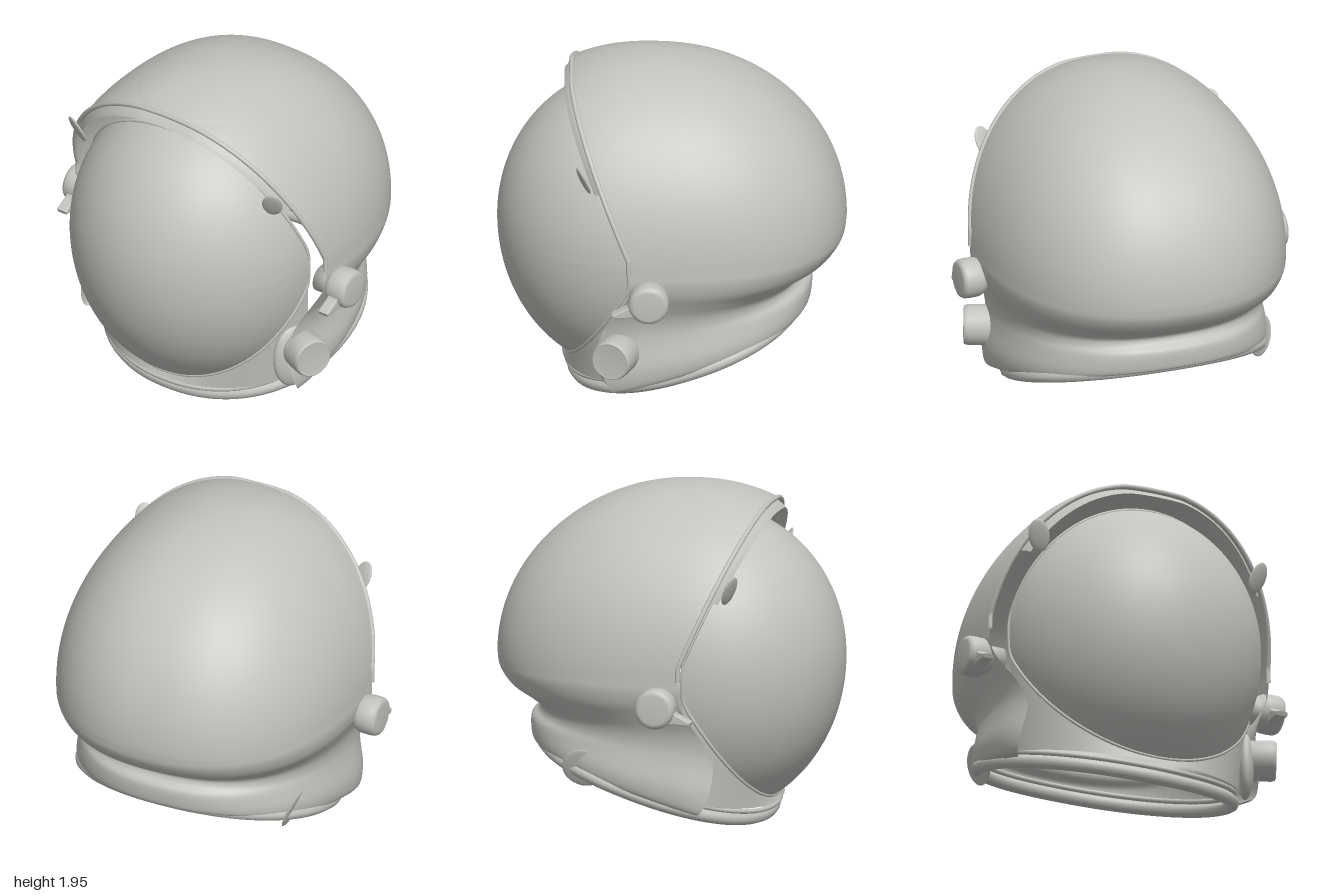
import * as THREE from 'three';

const V = (x, y, z) => new THREE.Vector3(x, y, z);
const spow = (v, p) => Math.sign(v) * Math.abs(v) ** p;

// Smooth surface through rows of points
function loft(rows) {
  const n = rows[0].length, idx = [];
  for (let i = 0; i + 1 < rows.length; i++) {
    for (let j = 0; j + 1 < n; j++) {
      const a = i * n + j, b = a + n;
      idx.push(a, b, a + 1, a + 1, b, b + 1);
    }
  }
  const g = new THREE.BufferGeometry().setFromPoints(rows.flat());
  g.setIndex(idx);
  g.computeVertexNormals();
  return g;
}

// Depth of the tilted face opening at a height
const openingZ = y => y > 0.8
  ? 0.24 + 0.415 * Math.max(0, y - 1.03)
  : 0.24 + 0.57 * (0.8 - y);

// One C-shaped section of the shell, running round the back
const N = 2.3, ZC = 0.13;
function shellRow({ w, zb, yb, fr, zf, yf }, count = 96) {
  const c = Math.max(0, Math.min(1, (zf - ZC) / Math.max(fr, 1e-4)));
  const max = Math.acos(-(c ** (N / 2)));
  const row = [];
  for (let j = 0; j <= count; j++) {
    const a = max * (2 * j / count - 1), k = Math.cos(a);
    const z = ZC - (k > 0 ? ZC - zb : fr) * spow(k, 2 / N);
    const y = yb + (yf - yb) * (z - zb) / Math.max(zf - zb, 1e-4);
    row.push(V(w * spow(Math.sin(a), 2 / N), y, z));
  }
  return row;
}
function domeRow(phi) {
  const s = Math.max(Math.cos(phi), 1e-3), y = 0.95 + Math.sin(phi);
  return shellRow({ w: 0.88 * s, zb: ZC - 1.13 * s, yb: y, fr: 1.03 * s, zf: openingZ(y), yf: y });
}

// Visor: ellipsoid point at angle t round the face, a away from the nose
const visorPoint = (t, a) => V(
  0.76 * Math.sin(a) * Math.cos(t),
  0.94 + (Math.sin(t) > 0 ? 0.86 : 0.92) * Math.sin(a) * Math.sin(t),
  0.22 + 0.78 * Math.cos(a));
function visorEdge(t) {
  let lo = 0, hi = Math.PI / 2 + 0.1;
  for (let i = 0; i < 30; i++) {
    const m = (lo + hi) / 2, p = visorPoint(t, m);
    if (p.z > openingZ(p.y)) lo = m; else hi = m;
  }
  return lo;
}

export function createModel() {
  const model = new THREE.Group();
  const grey = new THREE.MeshStandardMaterial({ color: 0xc2c2be, side: THREE.DoubleSide });
  grey.name = 'pale grey';
  const add = (name, geo, parent = model) => {
    const m = new THREE.Mesh(geo, grey);
    m.name = name;
    parent.add(m);
    return m;
  };
  const tube = (pts, r, closed = false) =>
    new THREE.TubeGeometry(new THREE.CatmullRomCurve3(pts, closed), 140, r, 10, closed);

  // Shell: dome, then tuck, crease and flared skirt
  const rows = [];
  for (let i = 0; i <= 56; i++) rows.push(domeRow((1 - i / 56) * Math.PI / 2));
  const back = [ // half width, back z, back y
    [0.88, -1.0, 0.95], [0.88, -0.985, 0.87], [0.86, -0.92, 0.78], [0.82, -0.82, 0.72],
    [0.785, -0.755, 0.67], [0.77, -0.76, 0.63], [0.775, -0.80, 0.59], [0.795, -0.80, 0.51],
    [0.78, -0.785, 0.47], [0.73, -0.74, 0.48]];
  const front = [ // front radius, front z, front y
    [1.03, 0.24, 0.95], [1.0, 0.235, 0.88], [0.9, 0.245, 0.8], [0.8, 0.28, 0.71],
    [0.72, 0.33, 0.62], [0.66, 0.38, 0.52], [0.62, 0.41, 0.42], [0.62, 0.39, 0.27],
    [0.62, 0.34, 0.16], [0.6, 0.28, 0.15]];
  const curve = a => new THREE.CatmullRomCurve3(a.map(p => V(...p)), false, 'catmullrom');
  const cb = curve(back), cf = curve(front);
  for (let i = 1; i <= 45; i++) {
    const b = cb.getPoint(i / 45), f = cf.getPoint(i / 45);
    rows.push(shellRow({ w: b.x, zb: b.y, yb: b.z, fr: f.x, zf: f.y, yf: f.z }));
  }
  add('shell', loft(rows));

  // Rolled edge of the face opening
  const half = [];
  for (let i = 0; i <= 40; i++) {
    const phi = 1.118 * i / 40;
    half.push(domeRow(phi)[96]);
  }
  const top = V(0, 1.845, 0.575);
  const edge = [...half.slice(0, 40), top, ...half.slice(0, 40).reverse().map(p => V(-p.x, p.y, p.z))];
  add('openingTrim', tube(edge, 0.014));

  // Thin brim inside the upper opening
  const upper = new THREE.CatmullRomCurve3(edge).getPoints(160).filter(p => p.y > 1.4);
  const inset = (k, dz) => upper.map(p => V(p.x * k, 0.95 + (p.y - 0.95) * k, p.z + dz));
  add('brim', loft([inset(0.99, -0.02), inset(0.96, 0.02), inset(0.935, 0.04)]));

  // Visor and its edge frame
  const visorRows = [], frame = [];
  for (let i = 0; i <= 96; i++) {
    const t = i / 96 * Math.PI * 2, e = visorEdge(t), row = [];
    for (let j = 0; j <= 32; j++) row.push(visorPoint(t, Math.max(e * j / 32, 1e-3)));
    visorRows.push(row);
    if (i < 96) frame.push(visorPoint(t, e));
  }
  add('visor', loft(visorRows.reverse()));
  add('visorFrame', tube(frame, 0.01, true));

  // Chin panel below the visor
  const chinTop = [], chinLow = [];
  for (let i = 0; i <= 60; i++) {
    const k = i / 30 - 1, t = -Math.PI / 2 + k * 1.45, a = k * 1.4;
    chinTop.push(visorPoint(t, visorEdge(t)));
    const z = 0.1 + 0.53 * Math.cos(a);
    chinLow.push(V(0.72 * Math.sin(a), 0.11 + (0.63 - z) * 0.25, z));
  }
  add('chinPanel', loft([chinTop, chinLow]));

  // Tilted neck ring in two layers
  const ring = (w, zf, zb, y0) => {
    const pts = [], c = (zf + zb) / 2, r = (zf - zb) / 2;
    for (let i = 0; i < 48; i++) {
      const a = i / 48 * Math.PI * 2, z = c + r * spow(Math.cos(a), 0.92);
      pts.push(V(w * spow(Math.sin(a), 0.92), y0 + (zf - z) * 0.335, z));
    }
    return pts;
  };
  add('neckRing', tube(ring(0.73, 0.565, -0.74, 0.04), 0.038, true));
  add('neckRingLip', tube(ring(0.725, 0.605, -0.72, 0.083), 0.014, true));

  // Pivot knobs, levers and visor tabs on both sides
  const knobProfile = [[0, 0.24], [0.085, 0.24], [0.105, 0.232], [0.114, 0.215],
    [0.116, 0.18], [0.114, 0.13], [0.1, 0.1], [0.08, 0.08], [0.08, 0], [0, 0]]
    .map(p => new THREE.Vector2(...p));
  const leverShape = new THREE.Shape([[-0.06, 0.06], [0.06, 0.04], [0.12, -0.035], [0.2, -0.075],
    [0.195, -0.085], [0.1, -0.08], [0, -0.1]].map(p => new THREE.Vector2(...p)));
  for (const s of [1, -1]) {
    const side = new THREE.Group();
    side.name = s > 0 ? 'leftPivot' : 'rightPivot';
    side.scale.x = s;
    model.add(side);
    const knob = add('knob', new THREE.LatheGeometry(knobProfile, 40), side);
    knob.rotation.z = -Math.PI / 2;
    knob.position.set(0.76, 0.805, 0.125);
    const lever = add('lever', new THREE.ExtrudeGeometry(leverShape,
      { depth: 0.05, bevelSize: 0.008, bevelThickness: 0.01, bevelSegments: 2 }), side);
    lever.rotation.y = -Math.PI / 2;
    lever.position.set(0.95, 0.805, 0.125);
    const tab = add('visorTab', new THREE.SphereGeometry(1, 24, 16), side);
    tab.scale.set(0.06, 0.095, 0.014);
    tab.rotation.set(0.45, 0.35, -0.3);
    tab.position.set(0.69, 1.46, 0.5);
  }

  // Air port with its mounting flange on the left cheek
  const flange = add('portFlange', new THREE.SphereGeometry(1, 32, 20));
  flange.scale.set(0.05, 0.2, 0.13);
  flange.rotation.y = -0.4;
  flange.position.set(0.7, 0.35, 0.31);
  const portProfile = [[0, 0], [0.118, 0], [0.118, 0.24], [0.112, 0.262], [0.104, 0.266],
    [0.1, 0.258], [0, 0.258]].map(p => new THREE.Vector2(...p));
  const port = add('airPort', new THREE.LatheGeometry(portProfile, 40));
  port.quaternion.setFromUnitVectors(V(0, 1, 0), V(0.92, 0, 0.39).normalize());
  port.position.set(0.63, 0.405, 0.245);

  // Small flap inside the neck opening
  const flap = add('neckFlap', new THREE.SphereGeometry(1, 24, 16));
  flap.scale.set(0.012, 0.12, 0.13);
  flap.rotation.z = 0.35;
  flap.position.set(-0.67, 0.38, -0.36);

  return model;
}
